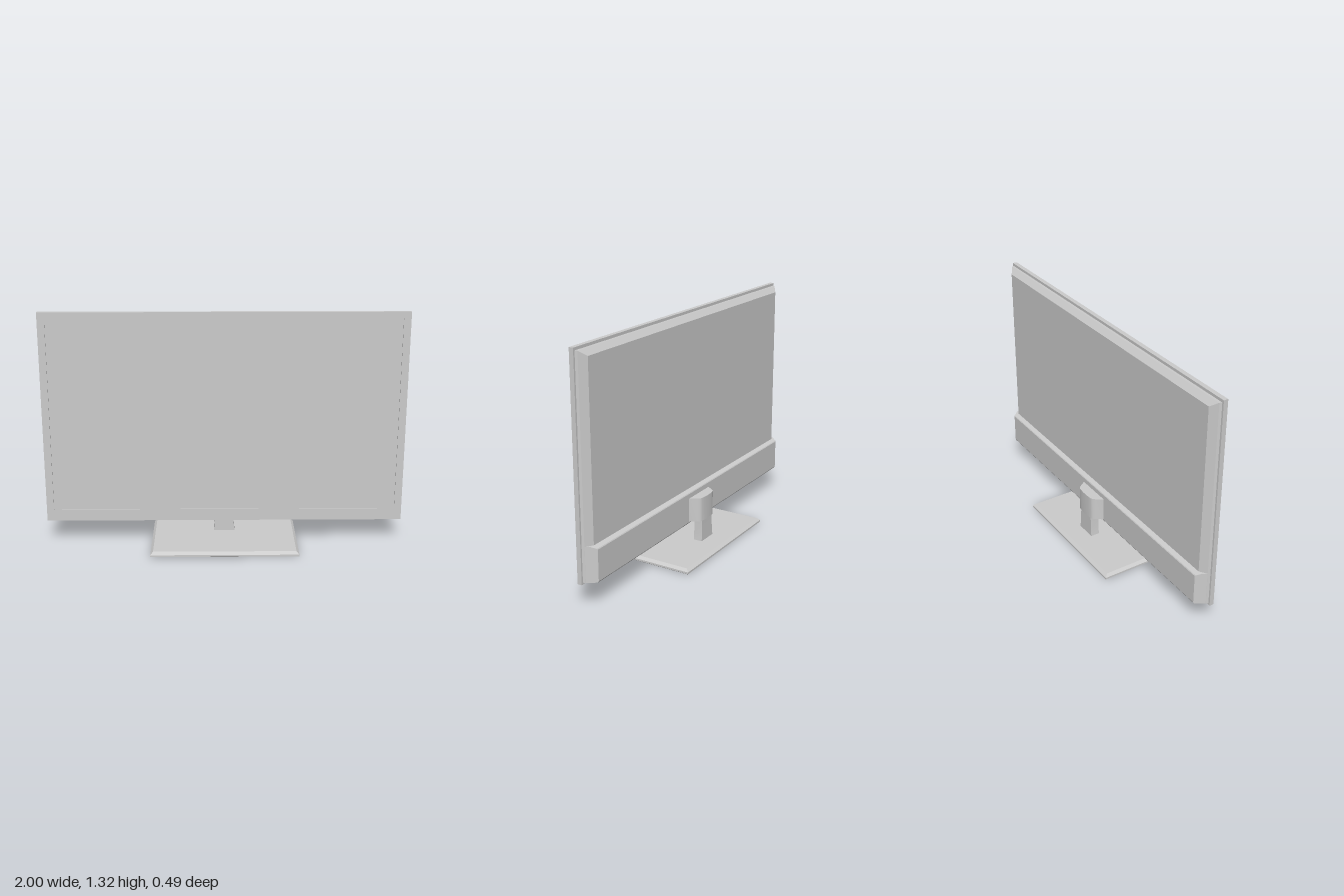
import * as THREE from 'three';
import { toCreasedNormals } from 'three/addons/utils/BufferGeometryUtils.js';

const grey = new THREE.MeshStandardMaterial({ color: 0xcccccc });

// Closed solid through rectangles [xMin, xMax, yMin, yMax, z], z increasing
function loftRects(rects) {
  const rings = rects.map(([x0, x1, y0, y1, z]) => [[x0, y0, z], [x1, y0, z], [x1, y1, z], [x0, y1, z]]);
  const pos = [];
  const quad = (a, b, c, d) => pos.push(...a, ...b, ...c, ...a, ...c, ...d);
  for (let r = 0; r < rings.length - 1; r++) {
    for (let i = 0; i < 4; i++) {
      const j = (i + 1) % 4;
      quad(rings[r][i], rings[r][j], rings[r + 1][j], rings[r + 1][i]);
    }
  }
  const first = rings[0], last = rings[rings.length - 1];
  quad(first[3], first[2], first[1], first[0]);
  quad(last[0], last[1], last[2], last[3]);
  const geo = new THREE.BufferGeometry();
  geo.setAttribute('position', new THREE.Float32BufferAttribute(pos, 3));
  geo.computeVertexNormals();
  return geo;
}

// Rectangles centred on x
const sym = (x, y0, y1, z) => [-x, x, y0, y1, z];

function rectPath(path, x, y0, y1) {
  path.moveTo(-x, y0);
  path.lineTo(x, y0);
  path.lineTo(x, y1);
  path.lineTo(-x, y1);
  path.closePath();
  return path;
}

export function createModel() {
  const group = new THREE.Group();
  const add = (name, geo) => {
    const mesh = new THREE.Mesh(geo, grey);
    mesh.name = name;
    group.add(mesh);
    return mesh;
  };

  // Front frame with the screen set slightly into it
  const frame = rectPath(new THREE.Shape(), 1, 0.13, 1.32);
  frame.holes.push(rectPath(new THREE.Path(), 0.96, 0.197, 1.283));
  add('bezel', new THREE.ExtrudeGeometry(frame, { depth: 0.025, bevelEnabled: false }));
  add('screen', loftRects([sym(0.962, 0.195, 1.285, 0.002), sym(0.962, 0.195, 1.285, 0.02)]));

  // Rear housing with bevelled edges
  add('backShell', loftRects([
    sym(0.945, 0.16, 1.275, -0.04),
    sym(0.985, 0.14, 1.305, -0.013),
    sym(0.99, 0.14, 1.305, 0.001),
  ]));

  // Thicker band along the bottom of the back
  add('lowerBackPanel', loftRects([
    sym(0.95, 0.148, 0.317, -0.067),
    sym(0.953, 0.142, 0.322, -0.064),
    sym(0.97, 0.14, 0.332, -0.039),
    sym(0.985, 0.14, 0.332, -0.012),
  ]));

  // Mounting block: tapered plan with rounded rear corners
  const plan = new THREE.Shape();
  plan.moveTo(-0.105, 0.06);
  plan.lineTo(0.105, 0.06);
  plan.lineTo(0.104, 0.07);
  plan.lineTo(0.078, 0.108);
  plan.quadraticCurveTo(0.068, 0.122, 0.05, 0.124);
  plan.quadraticCurveTo(0, 0.13, -0.05, 0.124);
  plan.quadraticCurveTo(-0.068, 0.122, -0.078, 0.108);
  plan.lineTo(-0.104, 0.07);
  plan.closePath();
  const block = new THREE.ExtrudeGeometry(plan, { depth: 0.137, bevelEnabled: false, curveSegments: 6 });
  block.rotateX(-Math.PI / 2).translate(0, 0.153, 0);
  add('standBracket', toCreasedNormals(block, 0.6));

  // Neck, widening towards the base
  const neck = loftRects([
    [-0.06, 0.06, 0.07, 0.122, 0.025],
    [-0.055, 0.055, 0.07, 0.121, 0.07],
    [-0.051, 0.051, 0.07, 0.12, 0.16],
  ]);
  add('neck', toCreasedNormals(neck.rotateX(-Math.PI / 2), 0.6));

  // Base plate with bevelled rim
  const base = loftRects([
    [-0.405, 0.405, -0.24, 0.24, 0],
    [-0.41, 0.41, -0.247, 0.247, 0.004],
    [-0.41, 0.41, -0.247, 0.247, 0.014],
    [-0.395, 0.395, -0.23, 0.23, 0.028],
  ]);
  add('base', base.rotateX(-Math.PI / 2));

  return group;
}
